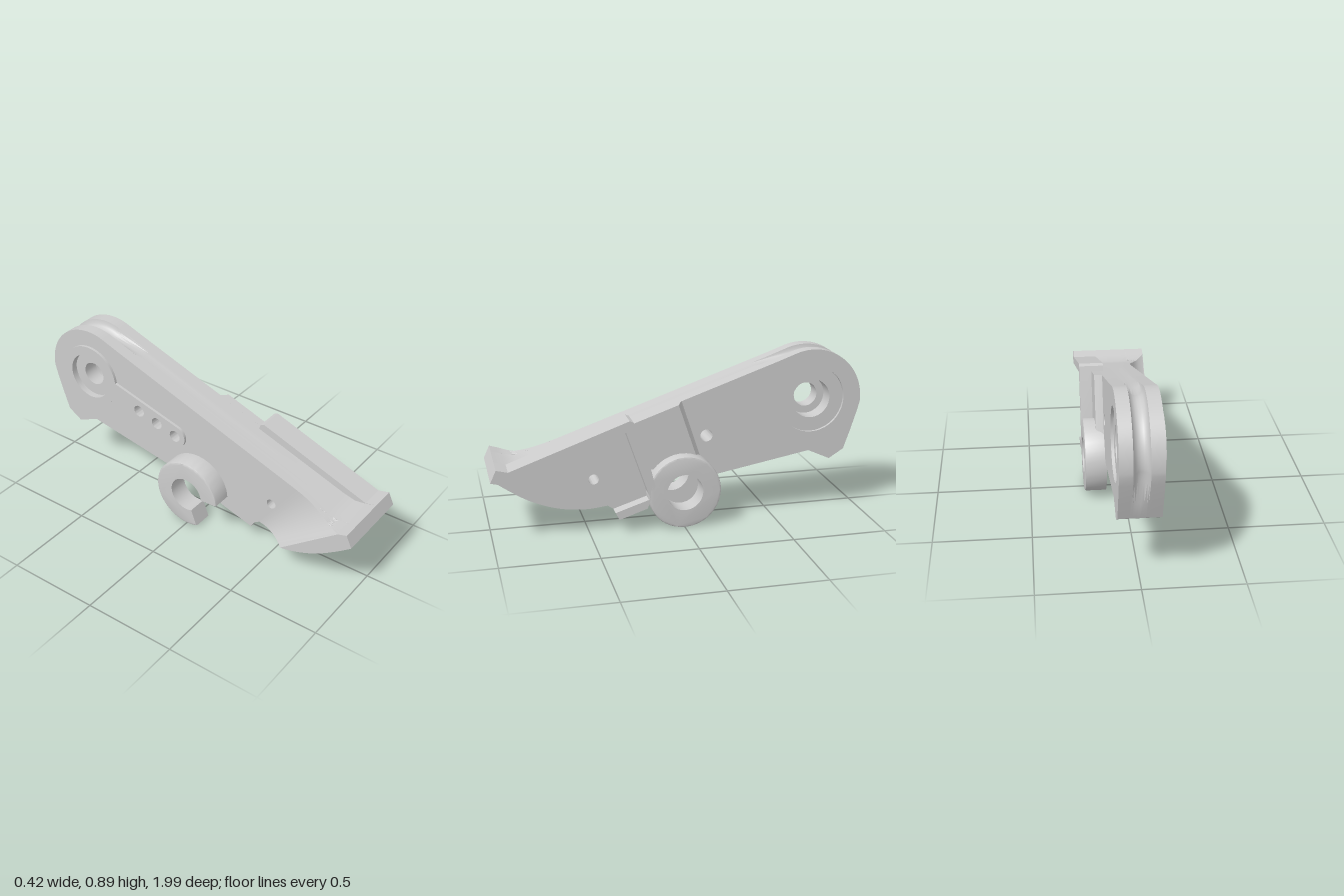
import * as THREE from 'three';
import { toCreasedNormals } from 'three/addons/utils/BufferGeometryUtils.js';

const material = new THREE.MeshStandardMaterial({ color: 0xcccccc });
const V = (z, y) => new THREE.Vector2(z, y);
const toPoints = list => list.map(p => V(p[0], p[1]));

// Points on an arc in the side plane (z, y), angles in degrees
function arc(z, y, r, from, to, n = 24) {
  return Array.from({ length: n + 1 }, (_, i) => {
    const a = (from + (to - from) * i / n) * Math.PI / 180;
    return [z + r * Math.cos(a), y + r * Math.sin(a)];
  });
}

// Skins side outlines stacked along x: layers = [[x, outline], ...].
// Each hole is { z, y, steps: [[x, radius], ...] } from the low-x cap to the high-x cap.
function loft(name, layers, holes = []) {
  const pos = [];
  const put = (x, p) => pos.push(x, p.y, p.x);
  const rings = layers.map(([x, pts]) => [x, toPoints(pts)]);
  if (THREE.ShapeUtils.isClockWise(rings[0][1])) rings.forEach(r => r[1].reverse());
  const holeRings = holes.map(h => h.steps.map(([x, r]) =>
    [x, toPoints(arc(h.z, h.y, r, 0, -360, 40).slice(0, -1)), r]));
  const walls = rs => {
    for (let k = 0; k + 1 < rs.length; k++) {
      const [x0, p] = rs[k], [x1, q] = rs[k + 1];
      p.forEach((a, i) => {
        const j = (i + 1) % p.length;
        put(x0, a); put(x1, q[i]); put(x1, q[j]);
        put(x0, a); put(x1, q[j]); put(x0, p[j]);
      });
    }
  };
  const cap = (end, flip) => {
    const [x, outline] = rings.at(end);
    const inner = holeRings.map(h => h.at(end)).filter(h => h[2] > 0.001).map(h => h[1]);
    const all = [outline, ...inner].flat();
    for (const f of THREE.ShapeUtils.triangulateShape(outline.slice(), inner.map(h => h.slice())))
      (flip ? [f[0], f[2], f[1]] : f).forEach(i => put(x, all[i]));
  };
  walls(rings);
  holeRings.forEach(walls);
  cap(0, false);
  cap(-1, true);
  const g = new THREE.BufferGeometry();
  g.setAttribute('position', new THREE.Float32BufferAttribute(pos, 3));
  const mesh = new THREE.Mesh(toCreasedNormals(g, 0.5), material);
  mesh.name = name;
  return mesh;
}
const slab = (name, x0, x1, pts, holes = []) => loft(name, [[x0, pts], [x1, pts]],
  holes.map(([z, y, r]) => ({ z, y, steps: [[x0, r], [x1, r]] })));

// Curved belly under the front end, and the top edge of the arm
const belly = new THREE.SplineCurve(toPoints([[1, 0.335], [0.92, 0.275], [0.8, 0.2], [0.66, 0.148],
  [0.52, 0.13], [0.4, 0.14]])).getPoints(20).map(p => [p.x, p.y]);
const nose = [[0.78, 0.392], [0.85, 0.374], [0.91, 0.382], [0.97, 0.4]];
const topLine = z => 0.883 - 0.348 * (z + 0.63);
const heightOn = (line, z) => {
  for (let i = 0; i + 1 < line.length; i++) {
    const [a, b] = [line[i], line[i + 1]];
    if ((z - a[0]) * (z - b[0]) <= 0) return a[1] + (b[1] - a[1]) * (z - a[0]) / (b[0] - a[0]);
  }
  return line.at(-1)[1];
};

// Arm outline; inset sinks the rounded rear edge to form the cable groove
const armOutline = inset => [
  ...belly, [0.37, 0.12], [0.35, 0.085], [0.2, 0.13], [0.14, 0.15],
  ...arc(0, 0.2, 0.13, 0, 150, 14), [-0.19, 0.25], [-0.71, 0.345], [-0.83, 0.29], [-0.91, 0.34],
  [-0.945, 0.44], [-0.98 + inset * 0.9, 0.55],
  ...arc(-0.72, 0.625, 0.275 - inset, 185, 70.5, 28),
  [-0.53, topLine(-0.53) - inset * 0.5], [-0.42, topLine(-0.42)], ...nose];

export function createModel() {
  const model = new THREE.Group();
  model.name = 'leverArm';

  // Main arm with rear groove, stepped bore and pin holes
  const grooveXs = [-0.105, -0.05, -0.04, -0.036, -0.028, -0.015, 0,
    0.015, 0.028, 0.036, 0.04, 0.05, 0.105];
  const straight = (z, y, r) => ({ z, y, steps: [[-0.105, r], [0.105, r]] });
  const blind = (z, y, r) => ({ z, y, steps: [[-0.105, r], [-0.03, r], [-0.03, 0.0005], [0.105, 0.0005]].slice(0, 3) });
  model.add(loft('mainArm',
    grooveXs.map(x => [x, armOutline(0.045 * Math.sqrt(Math.max(0, 1 - (x / 0.04) ** 2)))]),
    [{ z: -0.72, y: 0.63, steps: [[-0.105, 0.13], [-0.085, 0.13], [-0.085, 0.065], [0, 0.065],
      [0, 0.105], [0.09, 0.105], [0.09, 0.18], [0.105, 0.18]] },
    straight(-0.14, 0.47, 0.033), straight(0.47, 0.29, 0.027),
    blind(-0.38, 0.535, 0.033), blind(-0.26, 0.503, 0.033)]));

  // Raised pad on the right flank: disc with a bar holding three holes
  const tilt = -15.4;
  model.add(slab('flankPad', -0.12, -0.105,
    [...arc(-0.72, 0.63, 0.18, tilt + 21, tilt + 339, 48), ...arc(-0.14, 0.47, 0.065, tilt - 90, tilt + 90, 16)],
    [[-0.72, 0.63, 0.13], [-0.38, 0.535, 0.033], [-0.26, 0.503, 0.033], [-0.14, 0.47, 0.033]]));

  // Front lip flaring out to the right in a slanted scoop
  const flare = Array.from({ length: 13 }, (_, i) => {
    const t = 1 - i / 12, n = 16, top = [], bottom = [];
    const topEdge = [[0.5, topLine(0.5)], ...nose];
    for (let k = 0; k <= n; k++) {
      const zt = THREE.MathUtils.lerp(0.62 + 0.3 * t, 0.97, k / n);
      const zb = THREE.MathUtils.lerp(0.4 + 0.2 * t, 1, k / n);
      top.push([zt, heightOn(topEdge, zt)]);
      bottom.push([zb, heightOn(belly, zb)]);
    }
    return [-0.105 - 0.105 * t * t, [...top, ...bottom.reverse()]];
  });
  model.add(loft('flaredLip', flare));

  // Left front block: floor slab and the rim framing its recess
  const blockBack = [[0.97, 0.4], [0.91, 0.385], [0.29, 0.608], [0.27, 0.6], [0.18, 0.335], [0.16, 0.25],
    [0.2, 0.13], [0.35, 0.08], [0.37, 0.12]];
  model.add(slab('blockFloor', 0.08, 0.145, [...blockBack, ...belly.slice().reverse()], [[0.47, 0.29, 0.027]]));
  model.add(slab('blockRim', 0.145, 0.21,
    [[1, 0.335], ...blockBack, [0.185, 0.18], [0.31, 0.55], [0.96, 0.325]]));

  // Raised step between block and arm, with a sloped rear edge
  const step = back => [[0.26, topLine(0.26)], [0.02 - back, topLine(0.02 - back)],
    [-0.08 - back, 0.36], [0.1, 0.32], [0.2, 0.32]];
  model.add(loft('shoulderStep', [[0.1, step(0.03)], [0.115, step(0.015)], [0.145, step(0)]]));

  // Pivot eye on the left, open hook on the right, with softened outer edges
  const eye = r => arc(0, 0.2, r, 0, 360, 56).slice(0, -1);
  model.add(loft('pivotEye', [[0.097, eye(0.195)], [0.2, eye(0.195)], [0.207, eye(0.192)], [0.21, eye(0.185)]],
    [{ z: 0, y: 0.2, steps: [[0.097, 0.097], [0.21, 0.097]] }]));
  const hook = r => [...arc(0, 0.2, r, 3, 290, 48), ...arc(0, 0.2, 0.097, 290, 3, 48)];
  model.add(loft('pivotHook', [[-0.21, hook(0.185)], [-0.207, hook(0.192)], [-0.2, hook(0.195)], [-0.1, hook(0.195)]]));

  return model;
}
